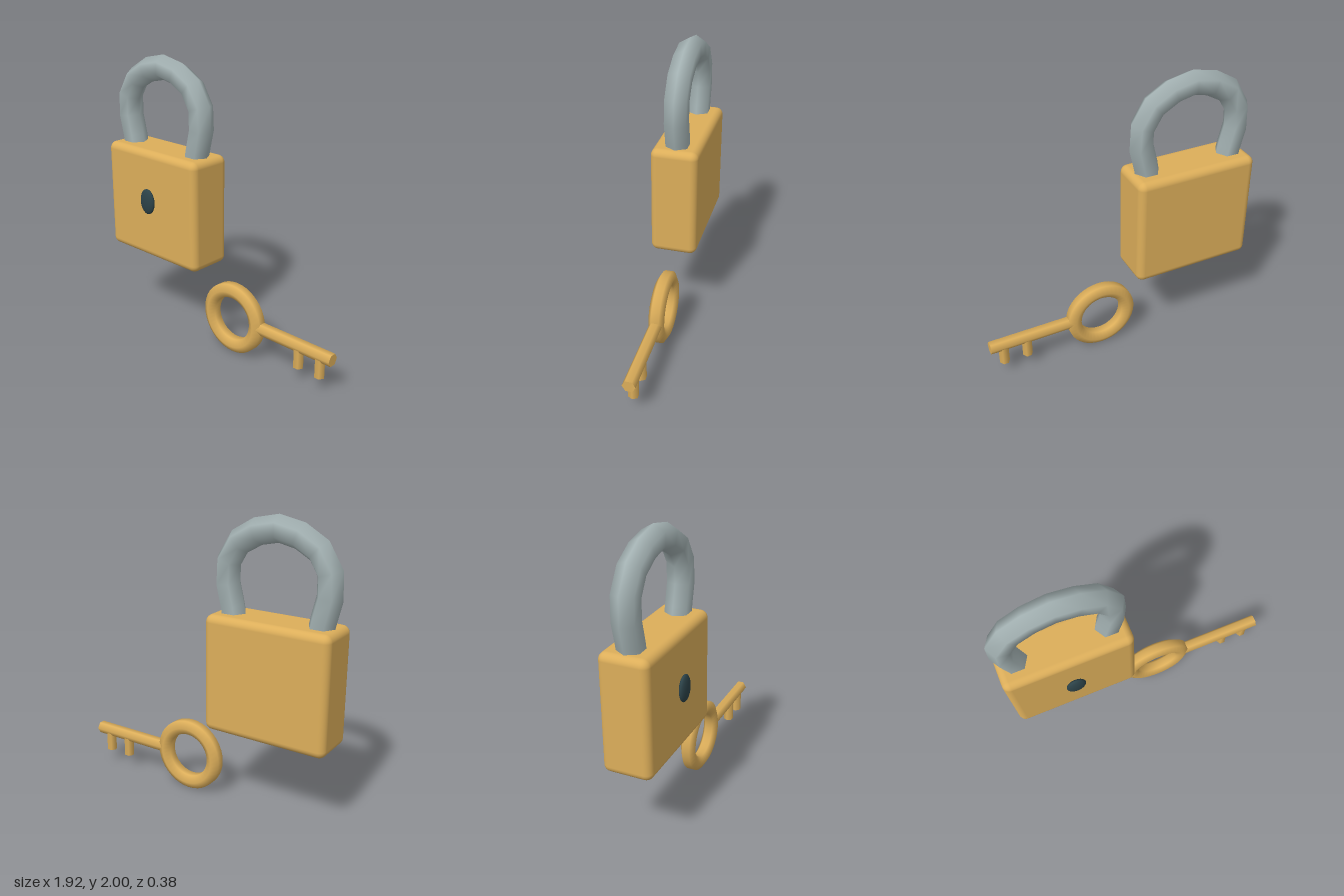
import * as THREE from 'three';
import { RoundedBoxGeometry } from 'three/addons/geometries/RoundedBoxGeometry.js';

const Z = -0.023; // common mid-plane of lock and key
const material = (name, color) => {
  const m = new THREE.MeshStandardMaterial({ color });
  m.name = name;
  return m;
};

// Curve whose frames are turned a quarter, so tube corners lie in the plane of the bend
class InPlaneCurve extends THREE.CatmullRomCurve3 {
  computeFrenetFrames(segments, closed) {
    const f = super.computeFrenetFrames(segments, closed);
    return { tangents: f.tangents, normals: f.binormals, binormals: f.normals.map((n) => n.clone().negate()) };
  }
}

export function createModel() {
  const brass = material('brass', 0xdcae5a);
  const steel = material('steel', 0xa2b0b1);
  const dark = material('dark slate', 0x2c4248);

  const model = new THREE.Group();
  model.name = 'padlockAndKey';
  const add = (parent, name, geometry, mat, x, y, z) => {
    const mesh = new THREE.Mesh(geometry, mat);
    mesh.name = name;
    mesh.position.set(x, y, z);
    parent.add(mesh);
    return mesh;
  };

  // Padlock: rounded body, hexagonal shackle, oval keyhole
  const lock = new THREE.Group();
  lock.name = 'padlock';
  model.add(lock);
  add(lock, 'lockBody', new RoundedBoxGeometry(0.87, 0.79, 0.328, 4, 0.05), brass, -0.525, 0.96, Z);

  const half = [[0.29, 1.25], [0.315, 1.39], [0.35, 1.53], [0.35, 1.67], [0.285, 1.797], [0.15, 1.882]];
  const path = [
    ...half.map(([x, y]) => new THREE.Vector3(-x, y, 0)),
    new THREE.Vector3(0, 1.915, 0),
    ...half.slice().reverse().map(([x, y]) => new THREE.Vector3(x, y, 0)),
  ];
  add(lock, 'shackle', new THREE.TubeGeometry(new InPlaneCurve(path), 12, 0.086, 6), steel, -0.525, 0, Z);

  const keyhole = add(lock, 'keyhole', new THREE.SphereGeometry(1, 24, 16), dark, -0.525, 1.0, 0.163);
  keyhole.scale.set(0.067, 0.092, 0.025);

  // Key: ring bow, hexagonal shaft, two teeth
  const key = new THREE.Group();
  key.name = 'key';
  model.add(key);
  const circle = [];
  for (let i = 0; i < 16; i++) {
    const a = (i / 16) * Math.PI * 2;
    circle.push(new THREE.Vector3(0.206 * Math.cos(a), 0.206 * Math.sin(a), 0));
  }
  const bow = new THREE.CatmullRomCurve3(circle, true);
  add(key, 'keyBow', new THREE.TubeGeometry(bow, 40, 0.056, 6, true), brass, 0.132, 0.258, Z);

  const shaft = add(key, 'keyShaft', new THREE.CylinderGeometry(0.045, 0.045, 0.61, 6), brass, 0.655, 0.26, Z);
  shaft.rotation.z = -Math.PI / 2;

  for (const x of [0.695, 0.865]) {
    const tooth = add(key, 'keyTooth', new THREE.CylinderGeometry(0.036, 0.036, 0.14, 6), brass, x, 0.17, Z);
    tooth.rotation.y = Math.PI / 6;
  }
  return model;
}
